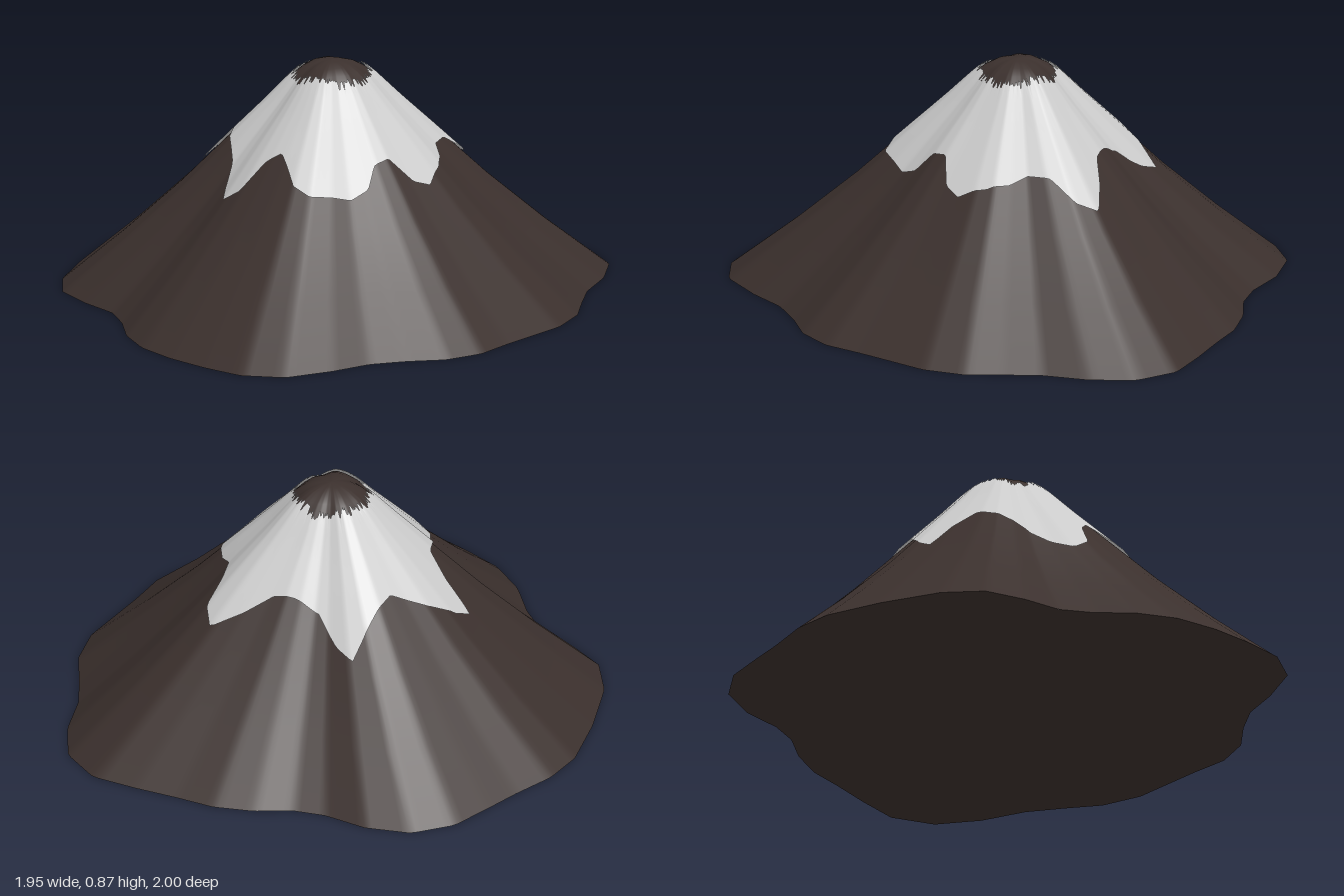
import * as THREE from 'three';

const PEAK = [-0.02, -0.02];
const SEGMENTS = 240;

// Foot outline and snow line, as x, z pairs
const FOOT = [
  0.97, -0.35, 0.95, -0.18, 0.89, -0.02, 0.87, 0.12, 0.855, 0.26, 0.79, 0.4, 0.69, 0.51, 0.6, 0.61,
  0.51, 0.72, 0.385, 0.79, 0.24, 0.81, 0.11, 0.845, -0.02, 0.925, -0.19, 1, -0.35, 0.975, -0.48, 0.88,
  -0.6, 0.77, -0.7, 0.645, -0.755, 0.5, -0.77, 0.35, -0.805, 0.23, -0.9, 0.115, -0.98, -0.02,
  -0.98, -0.18, -0.91, -0.4, -0.82, -0.6, -0.72, -0.71, -0.58, -0.8, -0.47, -0.88, -0.34, -0.97,
  -0.18, -1, -0.02, -0.945, 0.11, -0.85, 0.22, -0.805, 0.36, -0.79, 0.5, -0.745, 0.62, -0.67,
  0.76, -0.59, 0.9, -0.5,
];
const SNOW_LINE = [
  -0.03, -0.52, 0.02, -0.46, 0.07, -0.36, 0.15, -0.31, 0.22, -0.28, 0.33, -0.28, 0.45, -0.265,
  0.45, -0.18, 0.38, -0.1, 0.35, -0.02, 0.365, 0.05, 0.36, 0.13, 0.33, 0.23, 0.27, 0.265, 0.18, 0.26,
  0.13, 0.3, 0.11, 0.36, 0.05, 0.4, -0.02, 0.425, -0.1, 0.45, -0.16, 0.41, -0.18, 0.34, -0.2, 0.28,
  -0.26, 0.27, -0.35, 0.3, -0.41, 0.255, -0.4, 0.18, -0.375, 0.08, -0.385, -0.02, -0.365, -0.1,
  -0.41, -0.18, -0.49, -0.255, -0.43, -0.3, -0.33, -0.33, -0.19, -0.345, -0.13, -0.41, -0.08, -0.47,
];
// Slope profile: share of the foot radius, height
const PROFILE = [
  [0, 0.87], [0.04, 0.867], [0.08, 0.855], [0.115, 0.835], [0.155, 0.8], [0.25, 0.7],
  [0.37, 0.58], [0.56, 0.388], [0.77, 0.195], [1, 0],
];

function toPoints(flat) {
  const points = [];
  for (let i = 0; i < flat.length; i += 2) points.push(new THREE.Vector2(flat[i], flat[i + 1]));
  return points;
}

// Distance from the peak axis to an outline in a given direction
function radiusAt(points, angle) {
  const c = new THREE.Vector2(...PEAK);
  const dir = new THREE.Vector2(Math.cos(angle), Math.sin(angle));
  let radius = 0;
  points.forEach((p, i) => {
    const a = p.clone().sub(c);
    const b = points[(i + 1) % points.length].clone().sub(c);
    if (dir.cross(a) * dir.cross(b) > 0) return;
    const edge = b.sub(a);
    radius = Math.max(radius, a.cross(edge) / dir.cross(edge));
  });
  return radius;
}

function heightAt(s) {
  for (let i = 1; i < PROFILE.length; i++) {
    const [s0, y0] = PROFILE[i - 1];
    const [s1, y1] = PROFILE[i];
    if (s <= s1) return y0 + ((y1 - y0) * (s - s0)) / (s1 - s0);
  }
  return 0;
}

// Closed rings around the peak; shareAt(row, i) gives the share of the foot radius
function slopeSurface(rows, shareAt, lift) {
  const foot = toPoints(FOOT);
  const radii = Array.from({ length: SEGMENTS }, (_, i) => radiusAt(foot, (i / SEGMENTS) * Math.PI * 2));
  const positions = [];
  const index = [];
  for (let row = 0; row < rows; row++) {
    for (let i = 0; i < SEGMENTS; i++) {
      const angle = (i / SEGMENTS) * Math.PI * 2;
      const s = shareAt(row, i, radii[i]);
      const r = s * radii[i];
      positions.push(PEAK[0] + r * Math.cos(angle), heightAt(s) + lift, PEAK[1] + r * Math.sin(angle));
      if (row === rows - 1) continue;
      const a = row * SEGMENTS + i;
      const b = row * SEGMENTS + ((i + 1) % SEGMENTS);
      index.push(a, b, a + SEGMENTS, b, b + SEGMENTS, a + SEGMENTS);
    }
  }
  const geometry = new THREE.BufferGeometry();
  geometry.setAttribute('position', new THREE.Float32BufferAttribute(positions, 3));
  geometry.setIndex(index);
  geometry.computeVertexNormals();
  return geometry;
}

function seededRandom(seed) {
  return () => {
    seed = (seed * 16807) % 2147483647;
    return seed / 2147483647;
  };
}

export function createModel() {
  const model = new THREE.Group();
  model.name = 'mountain';
  const rock = new THREE.MeshStandardMaterial({ color: 0x3b302d });
  const snow = new THREE.MeshStandardMaterial({ color: 0xcccccc, side: THREE.DoubleSide });
  const add = (name, geometry, material) => {
    const mesh = new THREE.Mesh(geometry, material);
    mesh.name = name;
    model.add(mesh);
  };

  // Rock cone with a rounded summit
  add('rockSlope', slopeSurface(PROFILE.length, (row) => PROFILE[row][0], 0), rock);

  // Flat underside
  const base = new THREE.ShapeGeometry(new THREE.Shape(toPoints(FOOT)));
  base.rotateX(Math.PI / 2);
  add('underside', base, rock);

  // Snow sheet between the ragged summit edge and the lobed snow line
  const line = toPoints(SNOW_LINE);
  const outer = Array.from({ length: SEGMENTS }, (_, i) => radiusAt(line, (i / SEGMENTS) * Math.PI * 2));
  const random = seededRandom(7);
  const inner = outer.map(() => 0.122 + 0.03 * random() ** 2);
  const rows = 14;
  const snowShare = (row, i, footRadius) =>
    THREE.MathUtils.lerp(inner[i], outer[i], row / (rows - 1)) / footRadius;
  add('snowCap', slopeSurface(rows, snowShare, 0.012), snow);

  return model;
}
